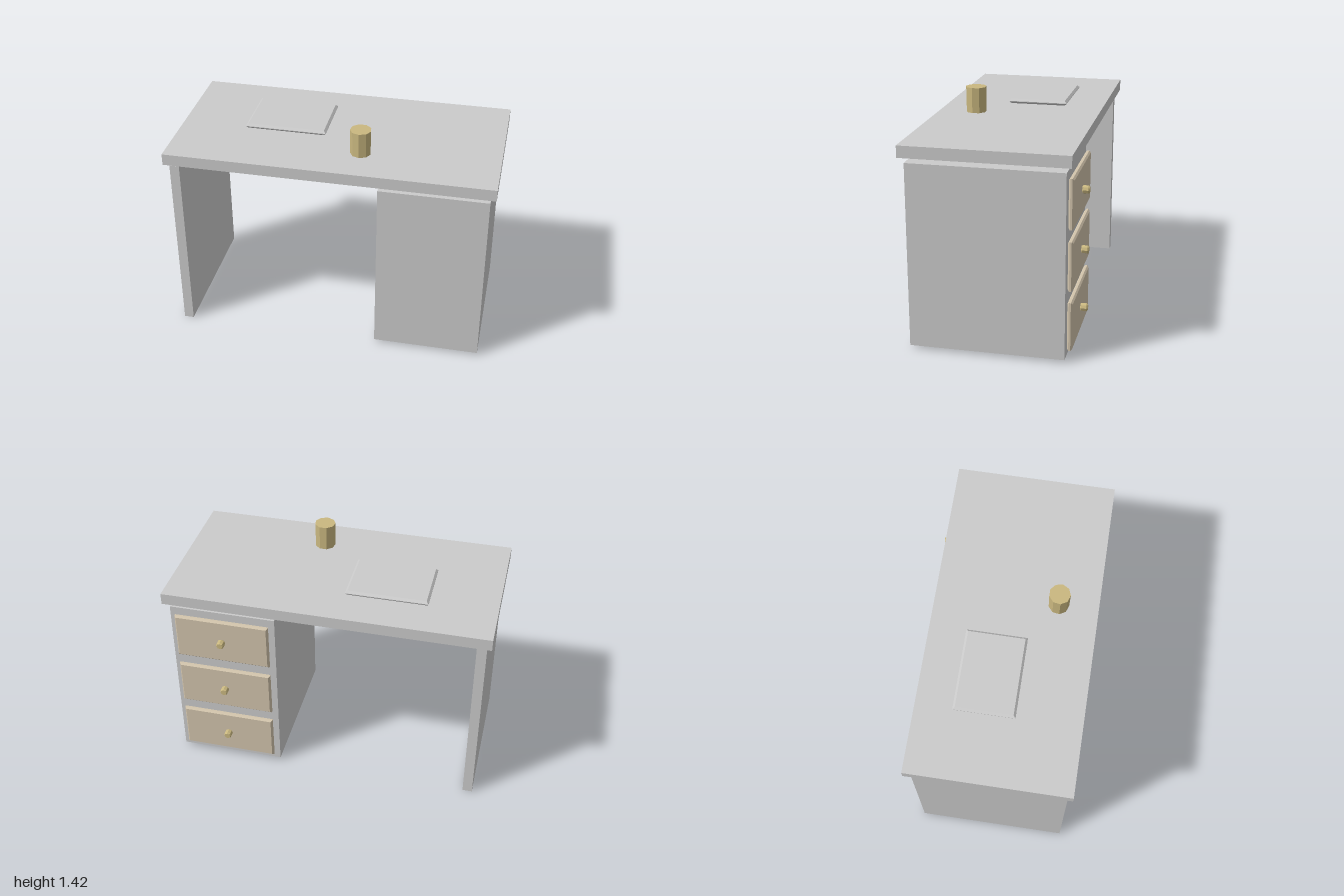
import * as THREE from 'three';

const material = (color) => new THREE.MeshStandardMaterial({ color, flatShading: true });

export function createModel() {
  const desk = new THREE.Group();
  desk.name = 'desk';
  const grey = material(0xcccccc);
  const tan = material(0xd2c4ac);
  const brass = material(0xcab880);

  const add = (name, geometry, mat, parent = desk) => {
    const mesh = new THREE.Mesh(geometry, mat);
    mesh.name = name;
    parent.add(mesh);
    return mesh;
  };

  // Plain board given by its lowest and highest corners
  const board = (name, [x0, y0, z0], [x1, y1, z1]) => {
    const mesh = add(name, new THREE.BoxGeometry(x1 - x0, y1 - y0, z1 - z0), grey);
    mesh.position.set((x0 + x1) / 2, (y0 + y1) / 2, (z0 + z1) / 2);
  };

  // Centred panel with chamfered edges, thickness along z
  const chamferedPanel = (width, height, depth, bevel) => {
    const w = width / 2 - bevel;
    const h = height / 2 - bevel;
    const outline = new THREE.Shape([
      new THREE.Vector2(-w, -h), new THREE.Vector2(w, -h),
      new THREE.Vector2(w, h), new THREE.Vector2(-w, h),
    ]);
    return new THREE.ExtrudeGeometry(outline, {
      depth: depth - 2 * bevel, bevelThickness: bevel, bevelSize: bevel, bevelSegments: 1,
    }).center();
  };

  // Desktop, side panel and drawer cabinet
  board('desktop', [-1, 1.185, -0.475], [1, 1.257, 0.52]);
  board('sidePanel', [-0.97, 0, -0.44], [-0.91, 1.165, 0.49]);
  board('cabinet', [0.305, 0.02, -0.44], [0.965, 1.147, 0.49]);

  // Three drawers with knobs, facing the back
  for (let i = 0; i < 3; i++) {
    const drawer = new THREE.Group();
    drawer.name = 'drawer' + (i + 1);
    drawer.position.set(0.635, 0.215 + i * 0.37, -0.461);
    add('drawerFront', chamferedPanel(0.59, 0.3, 0.032, 0.01), tan, drawer);
    const profile = [[0, 0], [0.02, 0], [0.02, 0.01], [0.025, 0.016], [0.025, 0.046], [0.019, 0.054], [0, 0.054]]
      .map(([r, y]) => new THREE.Vector2(r, y));
    const knob = add('knob', new THREE.LatheGeometry(profile, 8), brass, drawer);
    knob.rotation.x = -Math.PI / 2;
    knob.position.z = -0.005;
    desk.add(drawer);
  }

  // Writing pad and pencil cup on the desktop
  const pad = add('writingPad', chamferedPanel(0.505, 0.372, 0.03, 0.013), grey);
  pad.rotation.x = -Math.PI / 2;
  pad.position.set(-0.337, 1.281, -0.062);

  const cup = add('pencilCup', new THREE.CylinderGeometry(0.065, 0.063, 0.158, 9), brass);
  cup.position.set(0.164, 1.346, 0.276);

  return desk;
}
